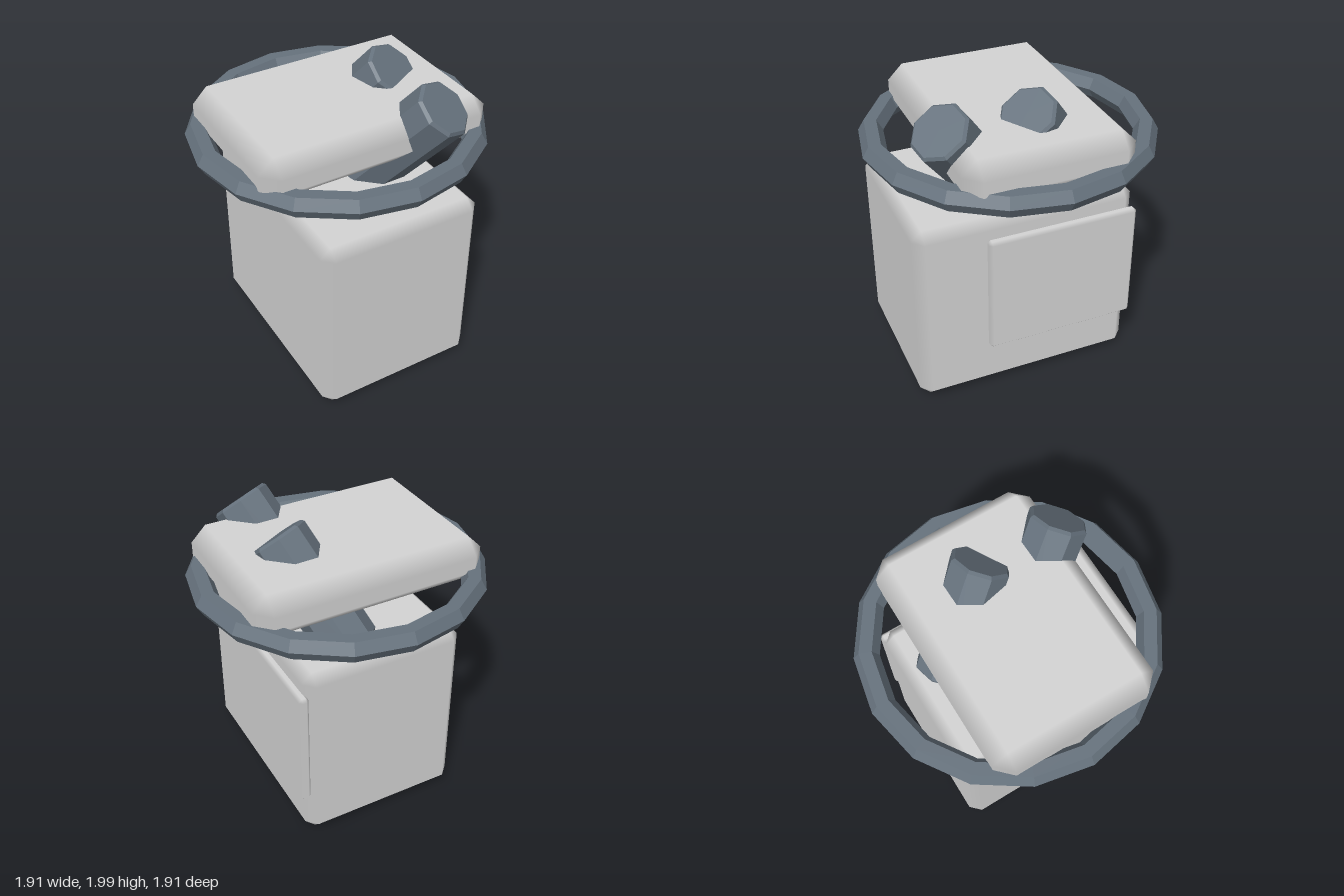
import * as THREE from 'three';
import { ConvexGeometry } from 'three/addons/geometries/ConvexGeometry.js';

// Box with single chamfers; normals follow the main faces so bevels shade softly
function bevelBox(min, max, bevel) {
  const half = min.map((v, i) => (max[i] - v) / 2);
  const points = [];
  for (const sx of [-1, 1]) for (const sy of [-1, 1]) for (const sz of [-1, 1]) {
    for (let axis = 0; axis < 3; axis++) {
      const p = [sx, sy, sz].map((s, i) => s * (half[i] - (i === axis ? 0 : bevel)));
      points.push(new THREE.Vector3(...p));
    }
  }
  const geo = new ConvexGeometry(points);
  const pos = geo.attributes.position;
  const normal = geo.attributes.normal;
  for (let i = 0; i < pos.count; i++) {
    const p = [pos.getX(i), pos.getY(i), pos.getZ(i)];
    normal.setXYZ(i, ...p.map((v, k) => (Math.abs(v) > half[k] - bevel / 2 ? Math.sign(v) : 0)));
  }
  geo.translate(...min.map((v, i) => (v + max[i]) / 2));
  return geo;
}

export function createModel() {
  const group = new THREE.Group();
  const lightGrey = new THREE.MeshStandardMaterial({ color: 0xd4d4d4 });
  lightGrey.name = 'lightGrey';
  const slate = new THREE.MeshStandardMaterial({ color: 0x66727d });
  slate.name = 'slate';

  const add = (name, geo, mat) => {
    const mesh = new THREE.Mesh(geo, mat);
    mesh.name = name;
    group.add(mesh);
    return mesh;
  };
  const faceted = (geo) => {
    const g = geo.toNonIndexed();
    g.computeVertexNormals();
    return g;
  };

  // Main block, its side panel and the upper slab
  add('body', bevelBox([-0.555, 0, -0.64], [0.55, 1.29, 0.83], 0.067), lightGrey);
  add('sidePanel', bevelBox([0.53, 0.33, -0.64], [0.595, 1.155, 0.37], 0.02), lightGrey);
  add('topSlab', bevelBox([-0.785, 1.52, -0.53], [0.782, 1.82, 0.575], 0.1), lightGrey);

  // Ring around the slab
  const ring = add('ring', faceted(new THREE.TorusGeometry(0.875, 0.08, 6, 16).rotateX(Math.PI / 2)), slate);
  ring.position.y = 1.57;

  // Two slanted eight-sided posts with small chamfers at both ends
  const r = 0.193, h = 0.41, c = 0.018;
  const profile = [[0, -h], [r - c, -h], [r, -h + c], [r, h - c], [r - c, h], [0, h]]
    .map(([x, y]) => new THREE.Vector2(x, y));
  const postGeo = faceted(new THREE.LatheGeometry(profile, 8));
  [0.367, -0.183].forEach((z, i) => {
    const post = add(i ? 'rearPost' : 'frontPost', postGeo, slate);
    post.position.set(0.258, 1.563, z);
    post.rotation.set(0.705, 0.52, 0, 'YXZ');
  });

  return group;
}
